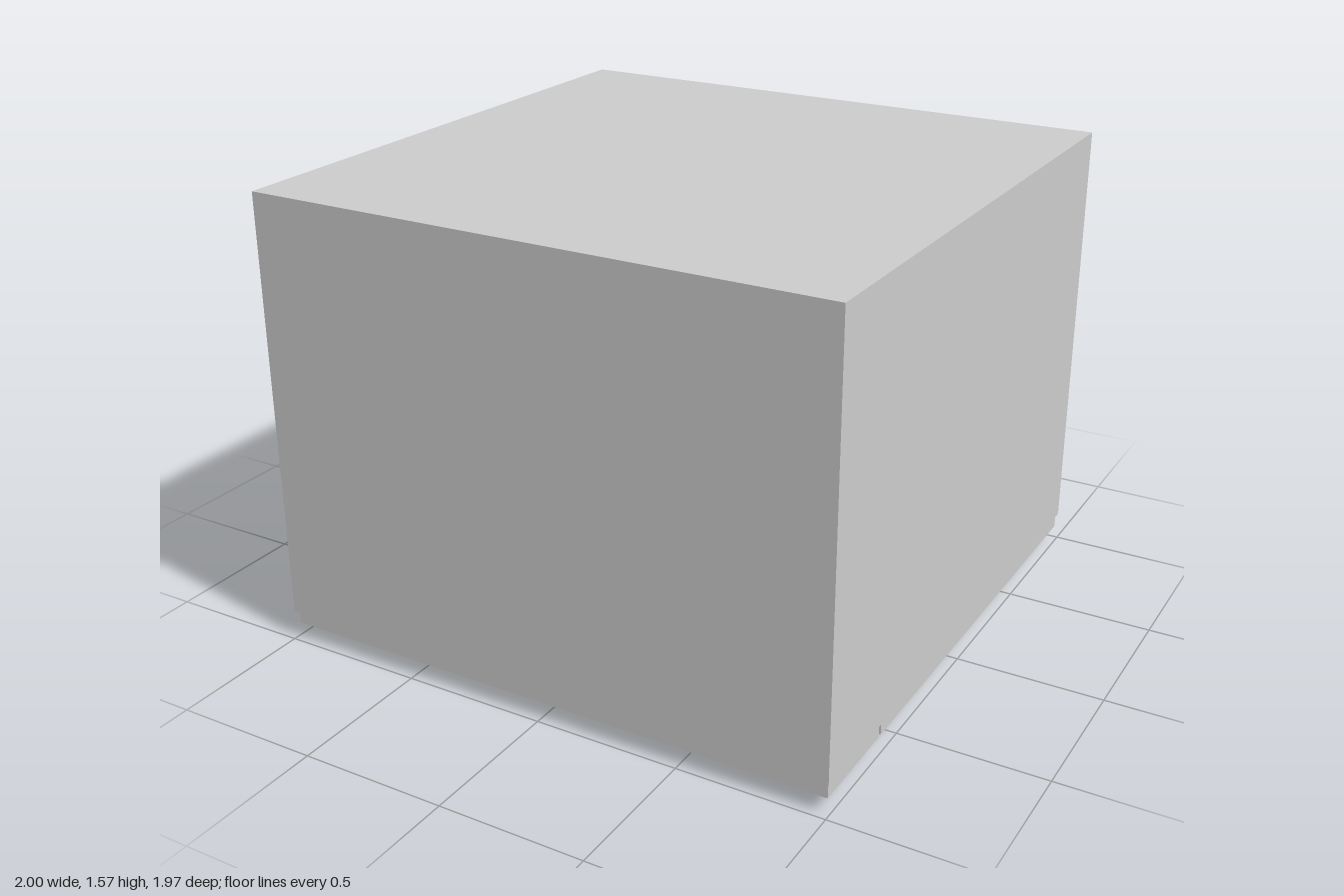
import * as THREE from 'three';

export function createModel() {
  const model = new THREE.Group();
  const material = new THREE.MeshStandardMaterial({ color: 0xcccccc });

  function add(name, geometry, x, y, z) {
    const mesh = new THREE.Mesh(geometry, material);
    mesh.name = name;
    mesh.position.set(x, y, z);
    model.add(mesh);
    return mesh;
  }

  // Box given by its limits along each axis
  function slab(name, x0, x1, y0, y1, z0, z1) {
    const geometry = new THREE.BoxGeometry(x1 - x0, y1 - y0, z1 - z0);
    return add(name, geometry, (x0 + x1) / 2, (y0 + y1) / 2, (z0 + z1) / 2);
  }

  // Oven cabinet, lying on its face with the door pointing down
  slab('cabinet', -1, 1, 0.104, 1.57, -0.987, 0.987);

  // Door and control panel with a narrow gap between them
  const face = 0.053;
  slab('door', -0.992, 0.992, face, 0.101, -0.982, 0.605);
  slab('controlPanel', -0.992, 0.992, face, 0.101, 0.62, 0.973);
  slab('faceSeal', -0.985, 0.985, 0.1, 0.105, -0.975, 0.965);

  // Stepped door window with rack lines
  slab('windowFrame', -0.86, 0.86, face - 0.003, face + 0.01, -0.83, 0.33);
  slab('windowGlass', -0.71, 0.71, face - 0.005, face + 0.01, -0.68, 0.14);
  for (const z of [-0.49, -0.285, -0.075]) {
    slab('rackLine', -0.58, 0.58, face - 0.006, face, z - 0.004, z + 0.004);
  }

  // Display and its raised screen
  slab('displayFrame', -0.3, 0.3, face - 0.003, face + 0.01, 0.75, 0.88);
  slab('displayScreen', -0.22, 0.22, face - 0.006, face + 0.01, 0.79, 0.85);

  // Row of round buttons beside the display
  for (const x of [-0.39, -0.54, -0.69]) {
    add('button', new THREE.CylinderGeometry(0.02, 0.02, 0.012, 24), x, face - 0.001, 0.81);
  }

  // Door handle: bar on two posts
  const bar = add('handleBar', new THREE.CylinderGeometry(0.0125, 0.0125, 1.52, 20), 0, 0.0125, 0.468);
  bar.rotation.z = Math.PI / 2;
  for (const side of [-1, 1]) {
    add('handlePost', new THREE.CylinderGeometry(0.008, 0.008, 0.045, 16), side * 0.74, 0.0365, 0.468);
  }

  return model;
}
